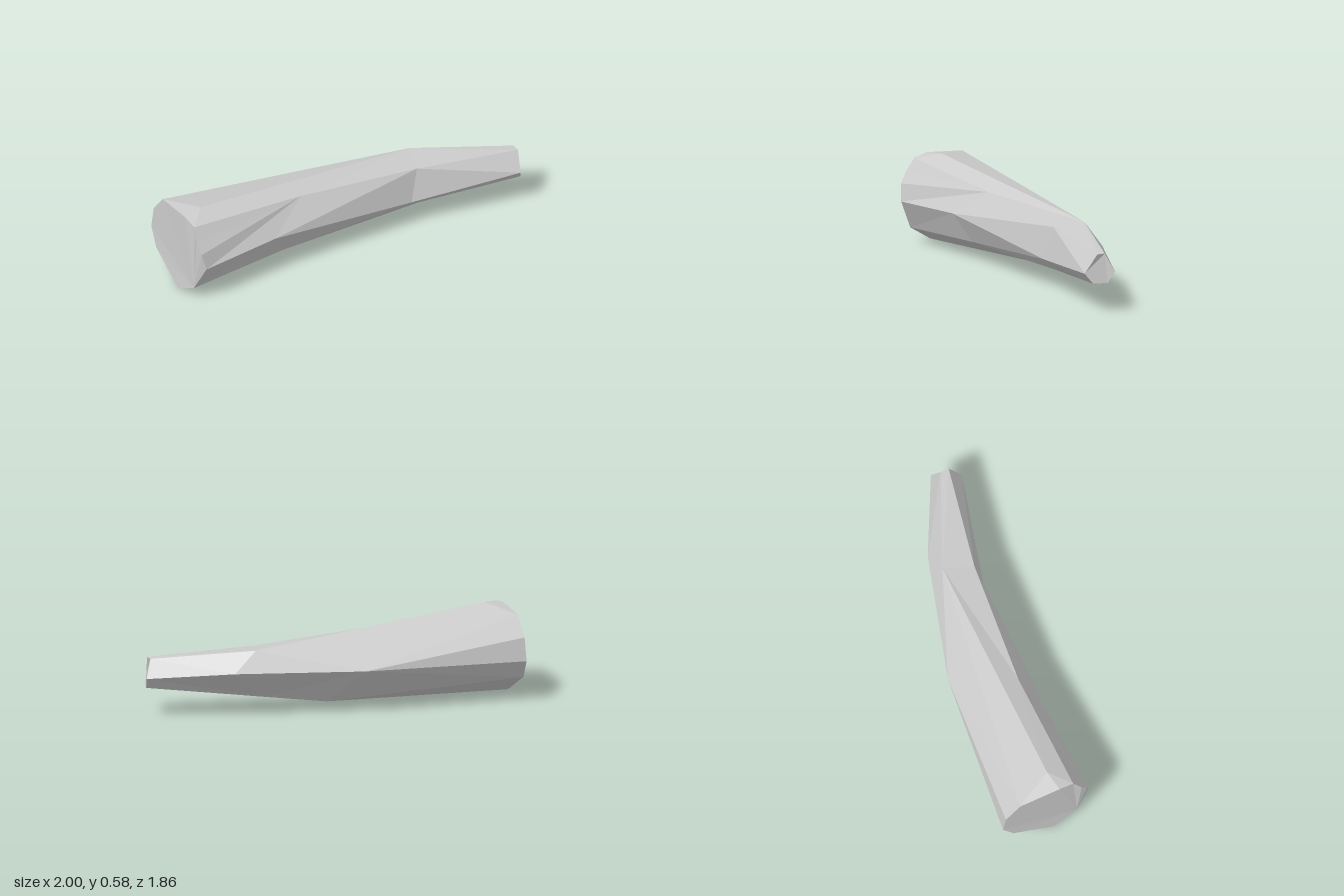
import * as THREE from 'three';

// Cross-sections from the thick end to the thin end: [x, y, z, turn], turn running 0-12 round the branch
const thickRing = [
  [-0.63, 0.58, 0.69, 0], [-0.61, 0.545, 0.865, 1], [-0.58, 0.46, 0.91, 2], [-0.54, 0.39, 0.93, 3],
  [-0.51, 0.28, 0.92, 3.8], [-0.605, 0.095, 0.89, 5.3], [-0.74, 0, 0.8, 6.8], [-0.95, 0.15, 0.62, 8],
  [-1, 0.27, 0.57, 9.1], [-0.98, 0.42, 0.58, 10], [-0.9, 0.545, 0.64, 11],
];
const middleRing = [
  [-0.15, 0.505, 0.07, 0], [-0.125, 0.472, 0.225, 0.9], [-0.2, 0.3, 0.485, 3.9],
  [-0.2, 0.125, 0.355, 5.4], [0.01, 0.06, -0.205, 6.9], [-0.27, 0.29, -0.2, 8.9],
  [-0.285, 0.488, 0.045, 12],
];
const bendRing = [
  [0.33, 0.43, -0.55, 0], [0.44, 0.41, -0.38, 2], [0.43, 0.195, -0.31, 4],
  [0.44, 0.13, -0.41, 5.5], [0.33, 0.105, -0.445, 7], [0.4, 0.3, -0.69, 9],
];
const thinRing = [
  [0.914, 0.375, -0.865, 0], [0.957, 0.375, -0.83, 2], [1, 0.255, -0.76, 4],
  [0.98, 0.19, -0.81, 5.5], [0.93, 0.19, -0.89, 7], [0.905, 0.26, -0.93, 9],
];
const rimTop = [-0.69, 0.567, 0.81];

// Skin between two rings, always stepping along the one whose next corner comes first
function stitch(a, b) {
  const triangles = [];
  const turn = (ring, i) => (i < ring.length ? ring[i][3] : 12);
  let i = 0, j = 0;
  while (i < a.length || j < b.length) {
    const p = a[i % a.length], q = b[j % b.length];
    const stepA = j >= b.length || (i < a.length && turn(a, i + 1) < turn(b, j + 1));
    if (stepA) triangles.push([p, a[++i % a.length], q]);
    else triangles.push([p, b[++j % b.length], q]);
  }
  return triangles;
}

// Fan of faces from the first corner, closing a ring
function cap(ring) {
  return ring.slice(2).map((p, i) => [ring[0], ring[i + 1], p]);
}

function makeMesh(name, triangles, material) {
  const positions = triangles.flat().flatMap((p) => p.slice(0, 3));
  const geometry = new THREE.BufferGeometry();
  geometry.setAttribute('position', new THREE.Float32BufferAttribute(positions, 3));
  geometry.computeVertexNormals();
  const mesh = new THREE.Mesh(geometry, material);
  mesh.name = name;
  return mesh;
}

export function createModel() {
  const group = new THREE.Group();
  group.name = 'branch';
  const grey = new THREE.MeshStandardMaterial({ color: 0xcccccc, flatShading: true });
  grey.name = 'light grey';

  // Bent, tapering body
  const rings = [thickRing, middleRing, bendRing, thinRing];
  const body = rings.slice(1).flatMap((ring, i) => stitch(rings[i], ring));

  // Small chamfer from the thick rim up to the ridge
  const [ridge, first] = thickRing;
  const last = thickRing[thickRing.length - 1];
  body.push([last, rimTop, ridge], [rimTop, first, ridge]);

  // Thick cut end fans out from its lower front corner
  const rim = [...thickRing.slice(5), rimTop, ...thickRing.slice(1, 5)];
  const thickFaces = cap(rim).map(([p, q, r]) => [p, r, q]);

  group.add(
    makeMesh('body', body, grey),
    makeMesh('thickEnd', thickFaces, grey),
    makeMesh('thinEnd', cap(thinRing), grey),
  );
  return group;
}
